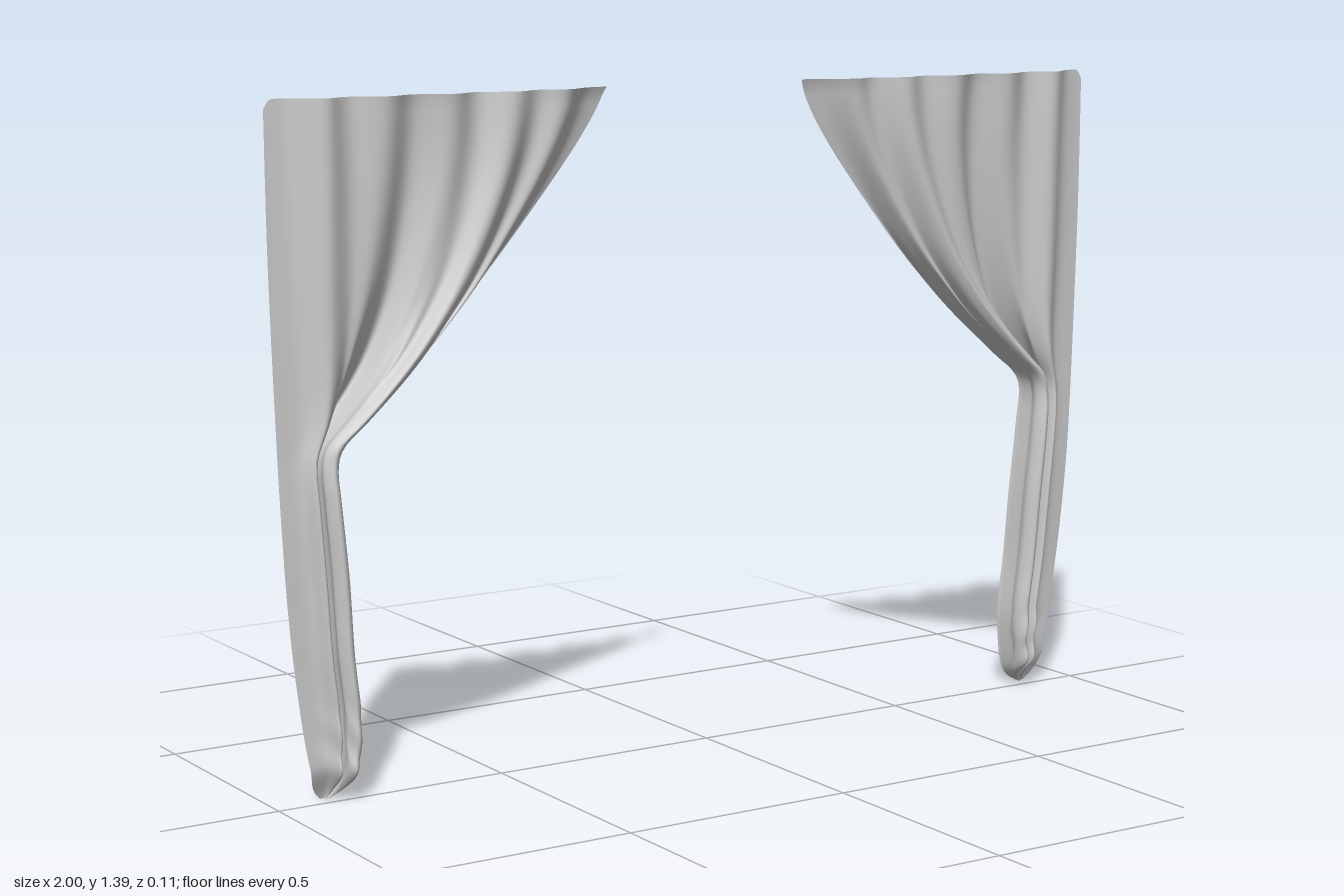
import * as THREE from 'three';

const TOP = 1.39, COLS = 220, ROWS = 110;
const smooth = THREE.MathUtils.smoothstep, lerp = THREE.MathUtils.lerp;

// Edge outline: a smooth lookup of x by height through a few [y, x] points, top to bottom
function edge(points) {
  const pts = new THREE.SplineCurve(points.map(p => new THREE.Vector2(...p))).getPoints(400);
  return y => {
    let i = 1;
    while (i < pts.length - 1 && pts[i].x > y) i++;
    const a = pts[i - 1], b = pts[i];
    return lerp(a.y, b.y, THREE.MathUtils.clamp((a.x - y) / (a.x - b.x), 0, 1));
  };
}
const outerEdge = edge([[1.39, 1], [1.1, 0.998], [0.8, 0.99], [0.55, 0.98], [0.35, 0.965],
  [0.15, 0.94], [0.06, 0.923], [0.02, 0.91], [0, 0.893]]);
const innerEdge = edge([[1.39, 0.24], [1.33, 0.268], [1.23, 0.338], [1.04, 0.495], [0.93, 0.6],
  [0.855, 0.68], [0.765, 0.788], [0.715, 0.848], [0.67, 0.864], [0.6, 0.86], [0.45, 0.845],
  [0.3, 0.835], [0.17, 0.822], [0.06, 0.83], [0.02, 0.845], [0, 0.873]]);

// Gathered cross-section: [fraction from outer to inner edge, z]
const gathered = new THREE.SplineCurve([
  [0, 0], [0.36, 0.008], [0.56, 0.032], [0.64, 0.008], [0.55, -0.028], [0.7, -0.044],
  [0.78, -0.01], [0.7, 0.03], [0.83, 0.043], [0.97, 0.028], [0.94, 0.002], [0.97, -0.025], [1, -0.038],
].map(p => new THREE.Vector2(...p)));

// One drape as a grid of heights by positions across the cloth
function drapeGeometry(side) {
  const pos = [], index = [];
  for (let c = 0; c <= COLS; c++) {
    const u = c / COLS, fold = gathered.getPoint(u);
    const envelope = smooth(u, 0, 0.17) * smooth(1 - u, 0, 0.2);
    const wave = -Math.cos((u - 0.225) * Math.PI * 2 / 0.185);
    // Softly rounded outer top corner
    const top = TOP - 0.02 * Math.max(0, 1 - u / 0.025) ** 2;
    for (let r = 0; r <= ROWS; r++) {
      // Rows crowd together towards the rounded hem
      const y = top * (1 - r / ROWS) ** 1.25;
      const xo = outerEdge(y), xi = innerEdge(y);
      // Pull towards the tie: 0 at the top, 1 from the waist down; the inner edge swings back first
      const pull = THREE.MathUtils.clamp((0.76 - (xo - xi)) / 0.62, 0, 1);
      const g = pull ** lerp(0.85, 0.4, u);
      // The outer cloth hangs straight while the inner cloth bunches up
      const s = lerp(1 - (1 - u) ** (1 + 1.1 * pull), fold.x, pull ** 4);
      let z = lerp(envelope * 0.036, fold.y, g) + envelope * wave * 0.014 * (1 - 0.75 * pull);
      // Fine pleats fading out at the waist
      z += 0.003 * Math.sin(u * 70) * u * smooth(pull, 0.15, 0.6) * (1 - smooth(pull, 0.7, 0.95));
      // Waist pinch, then a slow lean backwards below it
      z *= 1 - 0.15 * Math.exp(-(((y - 0.69) / 0.05) ** 2));
      z -= 0.009 * (1 - smooth(y, 0.15, 0.6));
      // Crumpled hem, closed and tucked backwards
      z += 0.004 * Math.sin(y * 70 + u * 25) * (1 - smooth(y, 0.08, 0.25)) * envelope;
      z = lerp(z, -0.042, 0.85 * (1 - smooth(y, -0.01, 0.075)));
      pos.push(side * lerp(xo, xi, s), y, z);
    }
  }
  const n = ROWS + 1;
  for (let c = 0; c < COLS; c++) {
    for (let r = 0; r < ROWS; r++) {
      const a = c * n + r, b = a + n;
      // Corner order keeps the front face towards +z on both sides
      if (side > 0) index.push(a, a + 1, b, b, a + 1, b + 1);
      else index.push(a, b, a + 1, b, b + 1, a + 1);
    }
  }
  const geo = new THREE.BufferGeometry();
  geo.setAttribute('position', new THREE.Float32BufferAttribute(pos, 3));
  geo.setIndex(index);
  geo.computeVertexNormals();
  return geo;
}

export function createModel() {
  const model = new THREE.Group();
  model.name = 'curtains';
  const cloth = new THREE.MeshStandardMaterial({ color: 0xcccccc, side: THREE.DoubleSide });
  for (const [name, side] of [['leftCurtain', 1], ['rightCurtain', -1]]) {
    const mesh = new THREE.Mesh(drapeGeometry(side), cloth);
    mesh.name = name;
    model.add(mesh);
  }
  return model;
}
